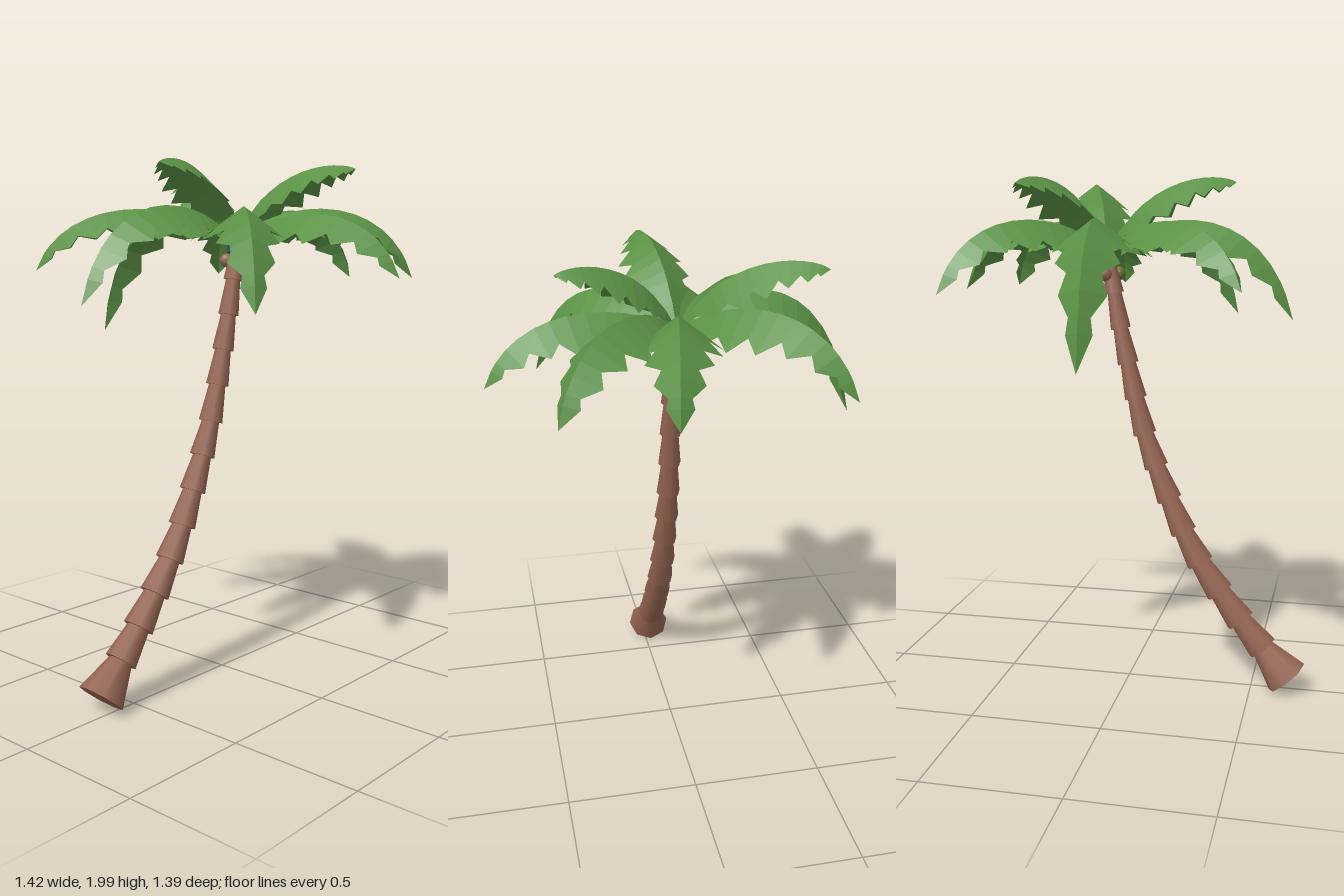
import * as THREE from 'three';

const bark = new THREE.MeshStandardMaterial({ color: 0x956452 });
const leaf = new THREE.MeshStandardMaterial({ color: 0x5a9145, flatShading: true, side: THREE.DoubleSide });
const bud = new THREE.MeshStandardMaterial({ color: 0x2f5a45, flatShading: true });
const olive = new THREE.MeshStandardMaterial({ color: 0x6b7030, flatShading: true });

const CROWN = new THREE.Vector3(0.085, 1.72, -0.008);
const UP = new THREE.Vector3(0, 1, 0);

// Tapered eight-sided piece from a to b
function taper(a, b, r0, r1, material, name) {
  const d = b.clone().sub(a);
  const mesh = new THREE.Mesh(new THREE.CylinderGeometry(r1, r0, d.length(), 8), material);
  mesh.position.copy(a).addScaledVector(d, 0.5);
  mesh.quaternion.setFromUnitVectors(UP, d.normalize());
  mesh.name = name;
  return mesh;
}

// Saw-tooth half width along a frond: [position, half width]
const TEETH = [
  [0, 0.008], [0.1, 0.045], [0.21, 0.115], [0.27, 0.098], [0.35, 0.155], [0.43, 0.1],
  [0.51, 0.146], [0.59, 0.08], [0.66, 0.114], [0.74, 0.06], [0.81, 0.084], [0.88, 0.038],
  [0.92, 0.046], [1, 0],
];

// Arched frond with a ridge along the middle and drooping toothed sides
function frond(x, z, tipY, archY, width) {
  const tip = new THREE.Vector3(x, tipY, z);
  const rib = new THREE.CubicBezierCurve3(CROWN,
    CROWN.clone().lerp(tip, 0.3).setY(archY), CROWN.clone().lerp(tip, 0.86).setY(archY), tip);
  const out = new THREE.Vector3(x - CROWN.x, 0, z - CROWN.z).normalize();
  const side = new THREE.Vector3().crossVectors(UP, out);
  const pos = [], index = [];
  TEETH.forEach(([t, w], i) => {
    const p = rib.getPoint(t);
    const normal = new THREE.Vector3().crossVectors(rib.getTangent(t), side);
    for (const s of [1, 0, -1]) {
      const q = p.clone().addScaledVector(side, s * w * width)
        .addScaledVector(normal, -Math.abs(s) * w * width * 0.75);
      pos.push(q.x, q.y, q.z);
    }
    if (i === 0) return;
    const a = 3 * (i - 1);
    for (const k of [a, a + 1]) index.push(k, k + 3, k + 1, k + 1, k + 3, k + 4);
  });
  const g = new THREE.BufferGeometry();
  g.setAttribute('position', new THREE.Float32BufferAttribute(pos, 3));
  g.setIndex(index);
  g.computeVertexNormals();
  const mesh = new THREE.Mesh(g, leaf);
  mesh.name = 'frond';
  return mesh;
}

export function createModel() {
  const model = new THREE.Group();
  model.name = 'palmTree';

  // Curved trunk of stacked, upward-tapering segments
  const trunk = new THREE.Group();
  trunk.name = 'trunk';
  const joints = [
    [-0.643, 0.064], [-0.545, 0.177], [-0.455, 0.283], [-0.37, 0.395], [-0.29, 0.51],
    [-0.222, 0.632], [-0.164, 0.76], [-0.11, 0.89], [-0.063, 1.02], [-0.026, 1.16],
    [0.005, 1.295], [0.035, 1.43], [0.06, 1.565], [0.08, 1.67],
  ].map(([x, y], i) => new THREE.Vector3(x, y, -0.022 + 0.0022 * i));
  for (let i = 0; i < joints.length - 1; i++) {
    const r = i === 0 ? 0.09 : 0.062 - 0.0022 * (i - 1);
    const top = i === 0 ? 0.043 : r * 0.68;
    const end = joints[i + 1].clone().lerp(joints[i], -0.06);
    trunk.add(taper(joints[i], end, r, top, bark, i === 0 ? 'trunkBase' : 'trunkSegment'));
  }
  model.add(trunk);

  // Bud joining the trunk to the fronds
  model.add(taper(new THREE.Vector3(0.081, 1.67, 0), new THREE.Vector3(0.087, 1.72, -0.006),
    0.036, 0.03, bud, 'crownBud'));

  // Small fruits hanging below the crown
  for (const [x, y, z, m] of [[0.05, 1.64, 0.032, olive], [0.085, 1.64, -0.05, bark]]) {
    const fruit = new THREE.Mesh(new THREE.IcosahedronGeometry(0.028, 1), m);
    fruit.position.set(x, y, z);
    fruit.name = 'fruit';
    model.add(fruit);
  }

  // Crown: eight long drooping fronds, then three short raised ones
  const crown = new THREE.Group();
  crown.name = 'crown';
  const fronds = [
    [0.025, -0.7, 1.34, 1.93, 1], [0.575, -0.525, 1.58, 1.9, 1], [0.705, 0.11, 1.57, 1.9, 1],
    [0.603, 0.48, 1.57, 1.9, 1], [0.17, 0.69, 1.575, 1.86, 1], [-0.367, 0.47, 1.46, 1.9, 1],
    [-0.633, -0.1, 1.48, 1.91, 1], [-0.49, -0.52, 1.6, 1.89, 1],
    [0.287, -0.5, 1.96, 2.01, 0.85], [0.25, 0.44, 1.975, 2.01, 0.85], [-0.4, 0.057, 1.98, 2.02, 0.85],
  ];
  for (const f of fronds) crown.add(frond(...f));
  model.add(crown);
  return model;
}
